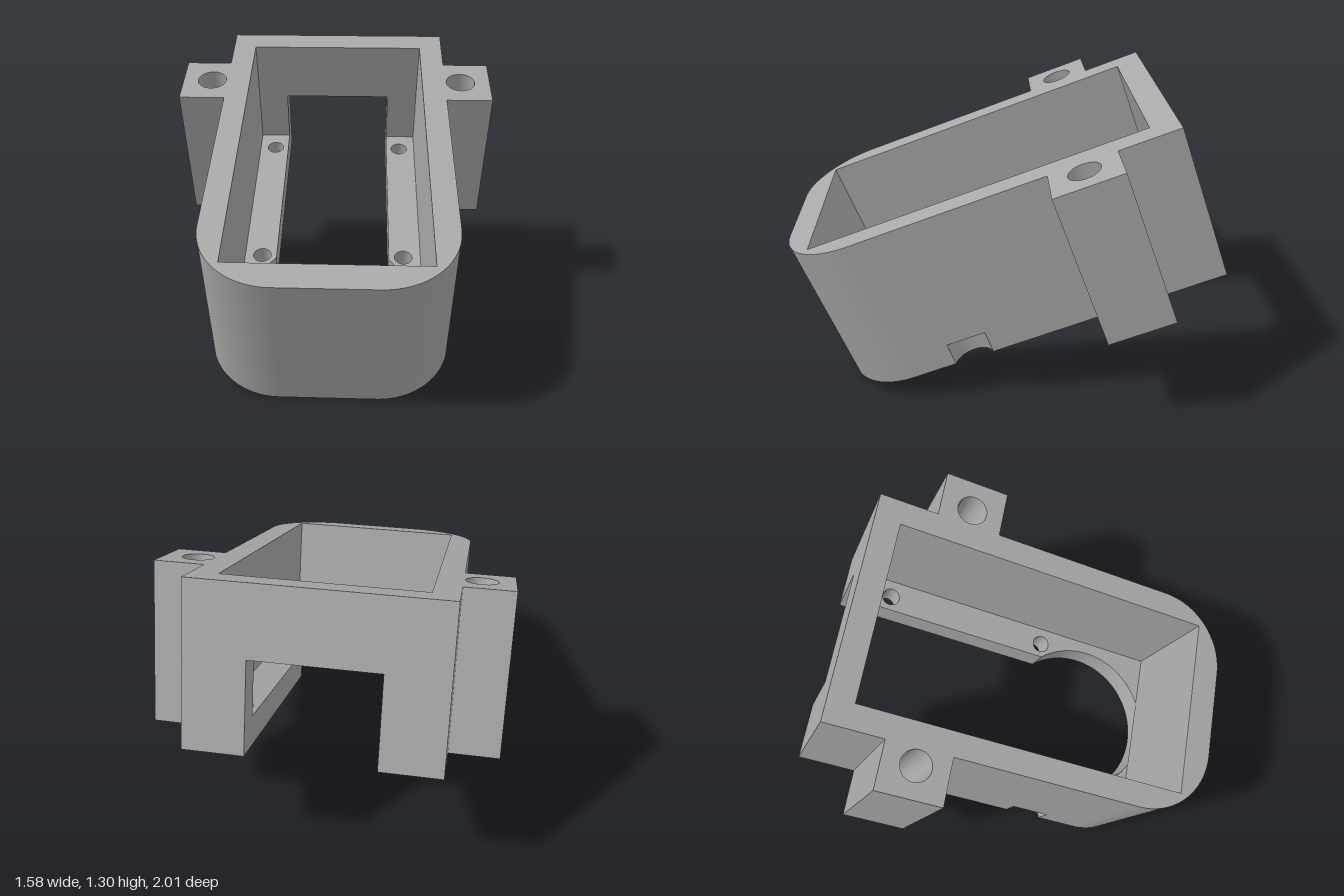
import * as THREE from 'three';
import { toCreasedNormals } from 'three/addons/utils/BufferGeometryUtils.js';

// Plan sizes: x is half-width from the centreline, s runs towards the back
const BODY = 0.5415, EAR = 0.761, POCKET = 0.4285, SLOT = 0.2745;
const BACK = 1.098, FRONT = -0.688, CORNER = 0.33;
const EAR_BACK = 0.827, EAR_FRONT = 0.527;
const POCKET_BACK = 0.98, POCKET_FRONT = -0.5615;
const BORE = 0.3725, BORE_S = -0.232;
const RELIEF = 0.095, RELIEF_OUT = 0.03, RELIEF_S = -0.07;

// Outer outline from the back left corner round the front to the back right
function outline(relief) {
  const s = new THREE.Shape();
  const a = Math.acos(RELIEF_OUT / RELIEF);
  s.moveTo(-BODY, BACK);
  s.lineTo(-BODY, EAR_BACK);
  s.lineTo(-EAR, EAR_BACK);
  s.lineTo(-EAR, EAR_FRONT);
  s.lineTo(-BODY, EAR_FRONT);
  if (relief) s.absarc(-BODY - RELIEF_OUT, RELIEF_S, RELIEF, a, -a, true);
  s.absarc(-BODY + CORNER, FRONT + CORNER, CORNER, Math.PI, Math.PI * 1.5, false);
  s.absarc(BODY - CORNER, FRONT + CORNER, CORNER, Math.PI * 1.5, Math.PI * 2, false);
  if (relief) s.absarc(BODY + RELIEF_OUT, RELIEF_S, RELIEF, Math.PI + a, Math.PI - a, true);
  s.lineTo(BODY, EAR_FRONT);
  s.lineTo(EAR, EAR_FRONT);
  s.lineTo(EAR, EAR_BACK);
  s.lineTo(BODY, EAR_BACK);
  s.lineTo(BODY, BACK);
  return s;
}

// Round hole mirrored on both sides of the centreline
function addHoles(shape, x, s, r) {
  for (const side of [-1, 1]) {
    const hole = new THREE.Path();
    hole.absarc(side * x, s, r, 0, Math.PI * 2, true);
    shape.holes.push(hole);
  }
}

// Floor: slot open at the back, running into the large round bore
function floorShape(relief) {
  const s = outline(relief);
  const a = Math.acos(SLOT / BORE);
  s.lineTo(SLOT, BACK);
  s.absarc(0, BORE_S, BORE, a, Math.PI - a, true);
  s.lineTo(-SLOT, BACK);
  s.closePath();
  addHoles(s, 0.345, 0.037, 0.043);
  addHoles(s, 0.345, 0.87, 0.043);
  return s;
}

// Lower walls: pocket open through the back window
function lowerWallShape() {
  const s = outline(false);
  s.lineTo(SLOT, BACK);
  s.lineTo(SLOT, POCKET_BACK);
  s.lineTo(POCKET, POCKET_BACK);
  s.lineTo(POCKET, POCKET_FRONT);
  s.lineTo(-POCKET, POCKET_FRONT);
  s.lineTo(-POCKET, POCKET_BACK);
  s.lineTo(-SLOT, POCKET_BACK);
  s.lineTo(-SLOT, BACK);
  s.closePath();
  return s;
}

// Upper walls: closed ring round the pocket
function upperWallShape() {
  const s = outline(false);
  s.closePath();
  s.holes.push(new THREE.Path([
    new THREE.Vector2(-POCKET, POCKET_FRONT),
    new THREE.Vector2(-POCKET, POCKET_BACK),
    new THREE.Vector2(POCKET, POCKET_BACK),
    new THREE.Vector2(POCKET, POCKET_FRONT),
  ]));
  return s;
}

export function createModel() {
  const grey = new THREE.MeshStandardMaterial({ color: 0xa8a8a8 });
  grey.name = 'plain grey';

  const housing = new THREE.Group();
  housing.name = 'housing';

  // Stack of slices from the underside to the rim
  const slices = [
    ['floorWithSideReliefs', floorShape(true), 0.257, 0.365],
    ['floorTop', floorShape(false), 0.365, 0.39],
    ['lowerWalls', lowerWallShape(), 0.39, 0.667],
    ['upperWalls', upperWallShape(), 0.667, 0.98],
  ];
  for (const [name, shape, bottom, top] of slices) {
    addHoles(shape, 0.6175, 0.676, 0.07); // bolt holes in the ears
    const geo = new THREE.ExtrudeGeometry(shape, {
      depth: top - bottom, bevelEnabled: false, curveSegments: 32,
    });
    geo.rotateX(-Math.PI / 2);
    geo.translate(0.0535, bottom, 0);
    const mesh = new THREE.Mesh(toCreasedNormals(geo, 0.5), grey);
    mesh.name = name;
    housing.add(mesh);
  }

  // The housing leans forward and is turned slightly to its left
  housing.rotation.set(THREE.MathUtils.degToRad(20.5), THREE.MathUtils.degToRad(7.2), 0, 'YXZ');

  const model = new THREE.Group();
  model.name = 'tiltedHousing';
  model.add(housing);
  return model;
}
